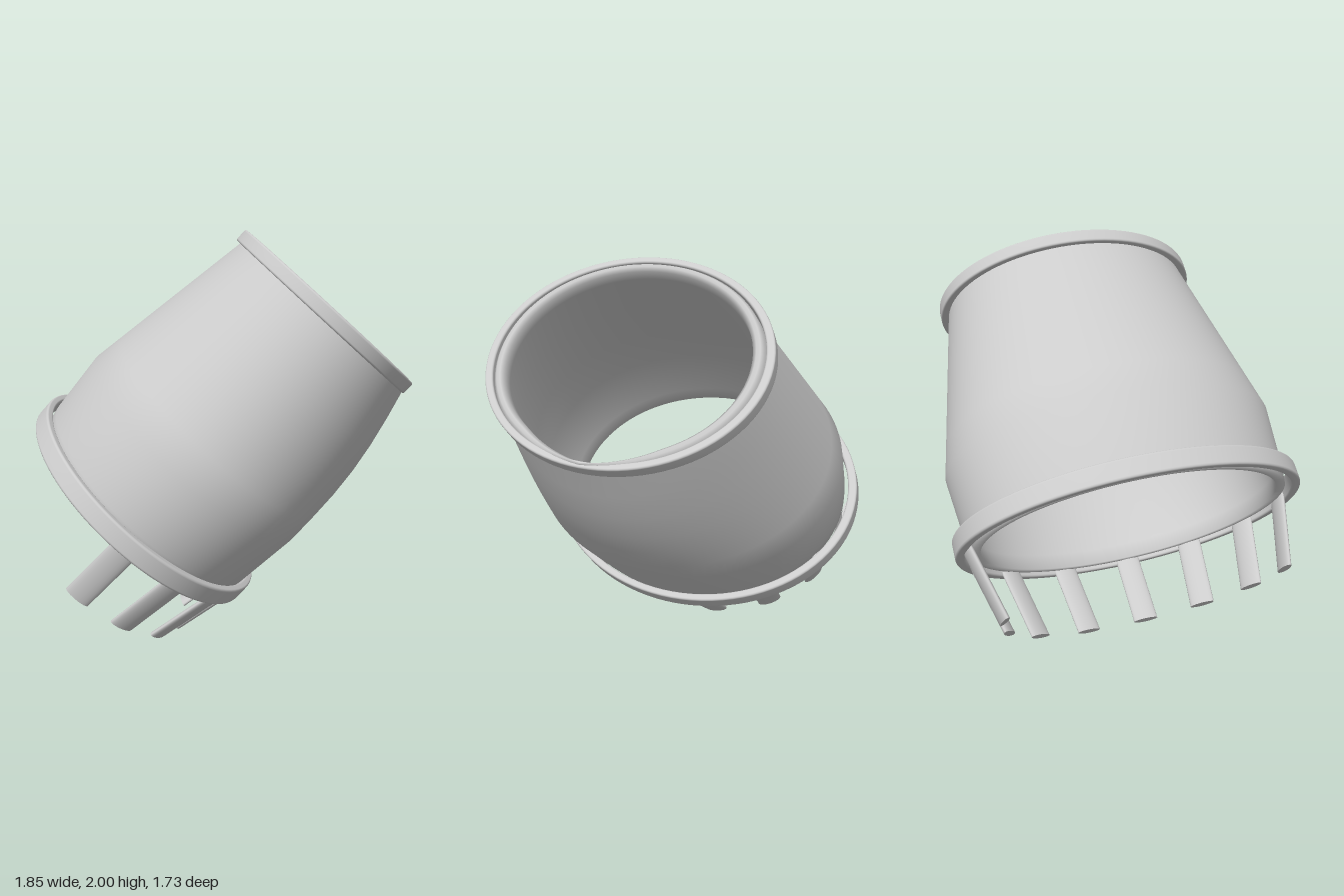
import * as THREE from 'three';

const SEG = 96;

// Ring with a lightly rounded rectangular section, squashed to an ellipse
function makeRing(name, inner, outer, low, high, bevel, cx, squash, material) {
  const pts = [];
  const corners = [[outer, low, -1, 1, -90], [outer, high, -1, -1, 0], [inner, high, 1, -1, 90], [inner, low, 1, 1, 180]];
  for (const [r, y, sr, sy, start] of corners) {
    for (let k = 0; k <= 4; k++) {
      const a = THREE.MathUtils.degToRad(start + k * 22.5);
      pts.push(new THREE.Vector2(r + bevel * (sr + Math.cos(a)), y + bevel * (sy + Math.sin(a))));
    }
  }
  pts.push(pts[0].clone());
  const ring = new THREE.Mesh(new THREE.LatheGeometry(pts, SEG), material);
  ring.name = name;
  ring.scale.x = squash;
  ring.position.x = cx;
  return ring;
}

// Sleeve open at both ends, lofted through elliptical sections: outside, lip, then inside
function makeVessel(material) {
  // each row: height, centre x, radius x, radius z, front bulge, front point
  const rows = [
    [0.21, -0.738, 0.63, 0.79, 0, 0],
    [0.29, -0.738, 0.642, 0.803, 0, 0],
  ];
  const lerp = THREE.MathUtils.lerp;
  for (let i = 0; i <= 6; i++) {
    const s = i / 6;
    rows.push([lerp(0.6, 1.5, s), lerp(-0.73, -0.705, s), lerp(0.669, 0.532, s), lerp(0.832, 0.642, s),
      0.045 * Math.sin(Math.PI * s), 0.006 * s]);
  }
  rows.push(
    [1.54, -0.708, 0.524, 0.634, 0, 0.012],
    [1.557, -0.709, 0.51, 0.618, 0, 0.03],
    [1.557, -0.709, 0.495, 0.6, 0, 0.036],
    [1.54, -0.709, 0.48, 0.582, 0, 0.042],
    [1.49, -0.709, 0.478, 0.58, 0, 0.042],
    [1.2, -0.714, 0.537, 0.655, 0.035, 0.015],
    [0.9, -0.72, 0.583, 0.72, 0.035, 0],
    [0.6, -0.73, 0.629, 0.785, 0, 0],
    [0.29, -0.738, 0.602, 0.757, 0, 0],
    [0.21, -0.738, 0.59, 0.744, 0, 0],
  );
  const position = [], index = [];
  rows.forEach(([y, cx, rx, rz, bulge, point], i) => {
    const above = (i + 1) % rows.length; // the last row closes the bottom rim
    for (let j = 0; j < SEG; j++) {
      const a = (j / SEG) * Math.PI * 2, c = Math.cos(a), front = Math.max(0, c);
      const cusp = Math.max(0, 1 - Math.min(a, Math.PI * 2 - a) / 0.6);
      position.push(cx + rx * c + bulge * front ** 3 + point * cusp, y, rz * Math.sin(a));
      const k = (j + 1) % SEG, p = i * SEG + j, q = i * SEG + k;
      index.push(p, above * SEG + j, q, q, above * SEG + j, above * SEG + k);
    }
  });
  const geometry = new THREE.BufferGeometry();
  geometry.setAttribute('position', new THREE.Float32BufferAttribute(position, 3));
  geometry.setIndex(index);
  geometry.computeVertexNormals();
  const vessel = new THREE.Mesh(geometry, material);
  vessel.name = 'vesselBody';
  return vessel;
}

// Eight flat prongs along the front half of the base, leaning inwards
function makeProngs(material) {
  const prongs = new THREE.Group();
  prongs.name = 'prongs';
  const geometry = new THREE.CylinderGeometry(1, 1, 1, 24);
  const up = new THREE.Vector3(), out = new THREE.Vector3(), side = new THREE.Vector3();
  for (let i = 0; i < 8; i++) {
    const a = -Math.PI / 2 + (i * Math.PI) / 7;
    const at = (r, y) => new THREE.Vector3(-0.743 + r * 0.8 * Math.cos(a), y, r * Math.sin(a));
    const bottom = at(0.715, -0.145), top = at(0.82, 0.24);
    up.subVectors(top, bottom);
    const length = up.length();
    up.normalize();
    // tangent of the ellipse gives the wide direction
    side.set(-0.8 * Math.sin(a), 0, Math.cos(a));
    side.addScaledVector(up, -side.dot(up)).normalize();
    out.crossVectors(side, up);
    const prong = new THREE.Mesh(geometry, material);
    prong.name = 'prong';
    prong.quaternion.setFromRotationMatrix(new THREE.Matrix4().makeBasis(side, up, out));
    prong.scale.set(0.063, length, 0.02);
    prong.position.addVectors(top, bottom).multiplyScalar(0.5);
    prongs.add(prong);
  }
  return prongs;
}

export function createModel() {
  const grey = new THREE.MeshStandardMaterial({ color: 0xcccccc });
  grey.name = 'lightGrey';

  // Everything is built upright, then leaned towards +x
  const tilted = new THREE.Group();
  tilted.name = 'tiltedVessel';
  tilted.rotation.z = THREE.MathUtils.degToRad(-42);
  tilted.add(
    makeVessel(grey),
    makeRing('baseRing', 0.818, 0.865, 0.19, 0.285, 0.012, -0.743, 0.79, grey),
    makeRing('rimRing', 0.642, 0.682, 1.488, 1.555, 0.01, -0.711, 0.812, grey),
    makeProngs(grey),
  );

  const model = new THREE.Group();
  model.name = 'model';
  model.add(tilted);
  return model;
}
